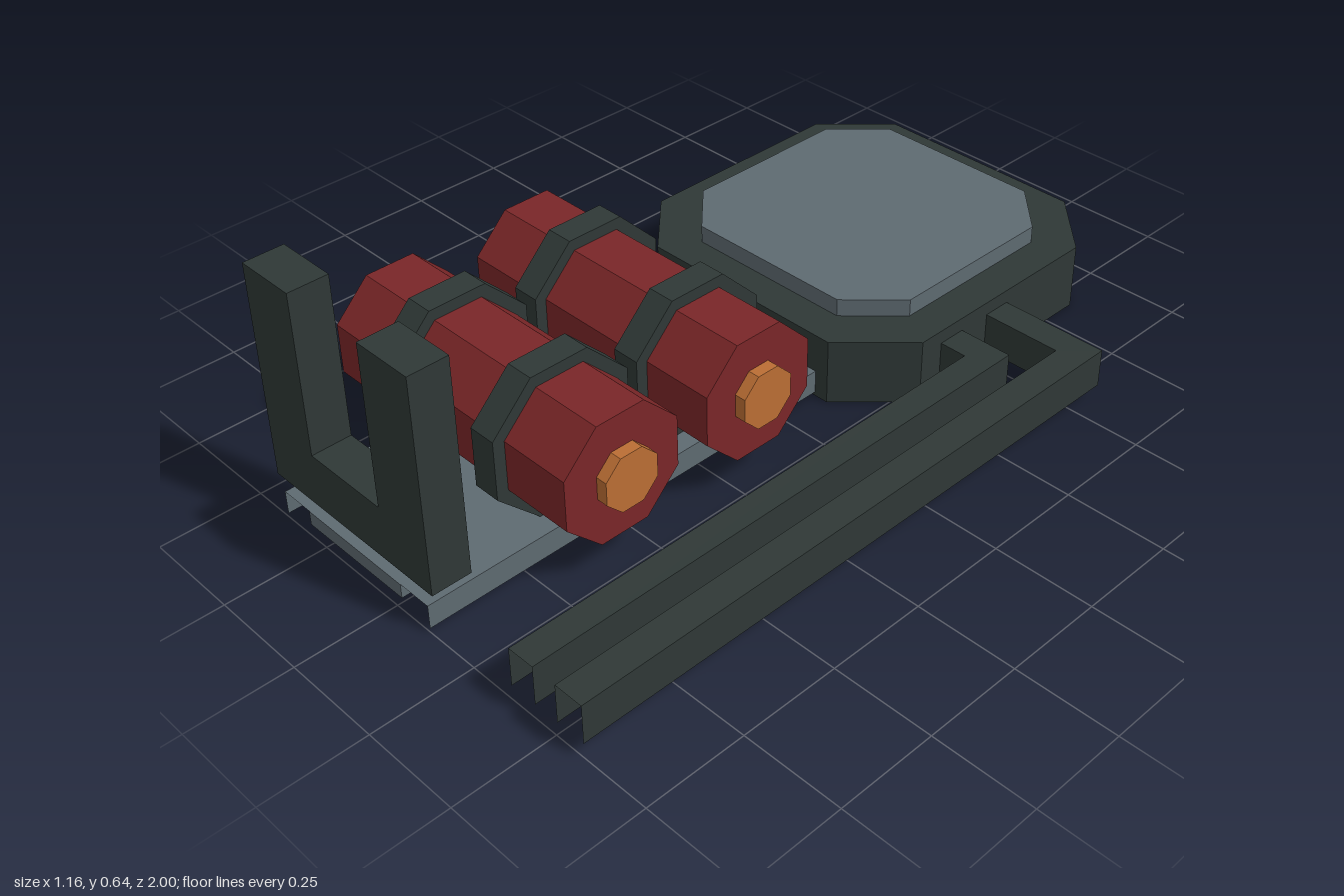
import * as THREE from 'three';
import { mergeGeometries } from 'three/addons/utils/BufferGeometryUtils.js';

const mat = (name, color, side = THREE.FrontSide) => {
  const m = new THREE.MeshStandardMaterial({ color, side, flatShading: true });
  m.name = name;
  return m;
};

// Hollow shell with a flat top and no bottom. The outline is a list of [x, z]
// running counter-clockwise from above; the edges listed in open get no wall.
function shellGeometry(outline, y0, y1, open = []) {
  const shape = new THREE.Shape(outline.map(([x, z]) => new THREE.Vector2(x, -z)));
  const top = new THREE.ShapeGeometry(shape).rotateX(-Math.PI / 2).translate(0, y1, 0).toNonIndexed();
  top.deleteAttribute('uv');
  const pos = [];
  outline.forEach(([ax, az], i) => {
    if (open.includes(i)) return;
    const [bx, bz] = outline[(i + 1) % outline.length];
    pos.push(ax, y0, az, bx, y0, bz, bx, y1, bz, ax, y0, az, bx, y1, bz, ax, y1, az);
  });
  const walls = new THREE.BufferGeometry();
  walls.setAttribute('position', new THREE.Float32BufferAttribute(pos, 3));
  walls.computeVertexNormals();
  return mergeGeometries([top, walls]);
}

// Square outline with cut corners
function cutSquare(cx, cz, r, c) {
  const k = r - c;
  return [[-r, -k], [-r, k], [-k, r], [k, r], [r, k], [r, -k], [k, -r], [-k, -r]]
    .map(([x, z]) => [cx + x, cz + z]);
}

// Eight-sided bar lying along x with flat faces up, down and sideways
function octBar(x0, x1, apothem) {
  return new THREE.CylinderGeometry(1, 1, x1 - x0, 8)
    .rotateY(Math.PI / 8)
    .scale(apothem / Math.cos(Math.PI / 8), 1, apothem / Math.cos(Math.PI / 8))
    .rotateZ(-Math.PI / 2)
    .translate((x0 + x1) / 2, 0, 0);
}

export function createModel() {
  const dark = mat('dark metal', 0x2f3836, THREE.DoubleSide);
  const grey = mat('grey metal', 0x5e6a71, THREE.DoubleSide);
  const red = mat('red casing', 0x7a2628);
  const orange = mat('copper', 0xbb6e34);

  const model = new THREE.Group();
  const add = (name, geometry, material, parent = model) => {
    const mesh = new THREE.Mesh(geometry, material);
    mesh.name = name;
    parent.add(mesh);
    return mesh;
  };

  // Eight-sided housing and its raised lid
  add('housing', shellGeometry(cutSquare(-0.14, -0.56, 0.44, 0.153), 0, 0.17), dark);
  add('lid', shellGeometry(cutSquare(-0.14, -0.56, 0.347, 0.12), 0.06, 0.215), grey);

  // Tray: open channel with a solid core
  add('tray', shellGeometry([[-0.39, -0.12], [-0.39, 1], [0.11, 1], [0.11, -0.12]], 0.01, 0.07, [1, 3]), grey);
  add('trayCore', new THREE.BoxGeometry(0.32, 0.036, 1.14).translate(-0.14, 0.051, 0.43), grey);

  // Two bent side rails, open below and at their ends
  for (const [name, inner, outer, back, front] of [
    ['innerRail', 0.37, 0.44, -0.415, -0.34],
    ['outerRail', 0.505, 0.58, -0.58, -0.505],
  ]) {
    const path = [[0.3, back], [0.3, front], [inner, front], [inner, 1], [outer, 1], [outer, back]];
    add(name, shellGeometry(path, 0.037, 0.135, [0, 3]), dark);
  }

  // Canisters, each with two clamps and an end contact
  [0.202, 0.59].forEach((z, i) => {
    const canister = new THREE.Group();
    canister.name = i ? 'frontCanister' : 'rearCanister';
    canister.position.set(0, 0.25, z);
    add('casing', octBar(-0.52, 0.242, 0.152), red, canister);
    add('contact', octBar(0.24, 0.271, 0.069), orange, canister);
    for (const x of [-0.31, 0.023]) add('clamp', octBar(x - 0.035, x + 0.035, 0.181), dark, canister);
    model.add(canister);
  });

  // U-shaped upright at the front
  const u = new THREE.Shape([
    [-0.408, 0.11], [0.131, 0.11], [0.131, 0.645], [-0.024, 0.645],
    [-0.024, 0.245], [-0.253, 0.245], [-0.253, 0.645], [-0.408, 0.645],
  ].map(([x, y]) => new THREE.Vector2(x, y)));
  add('frontUpright', new THREE.ExtrudeGeometry(u, { depth: 0.098, bevelEnabled: false }).translate(0, 0, 0.902), dark);

  return model;
}
